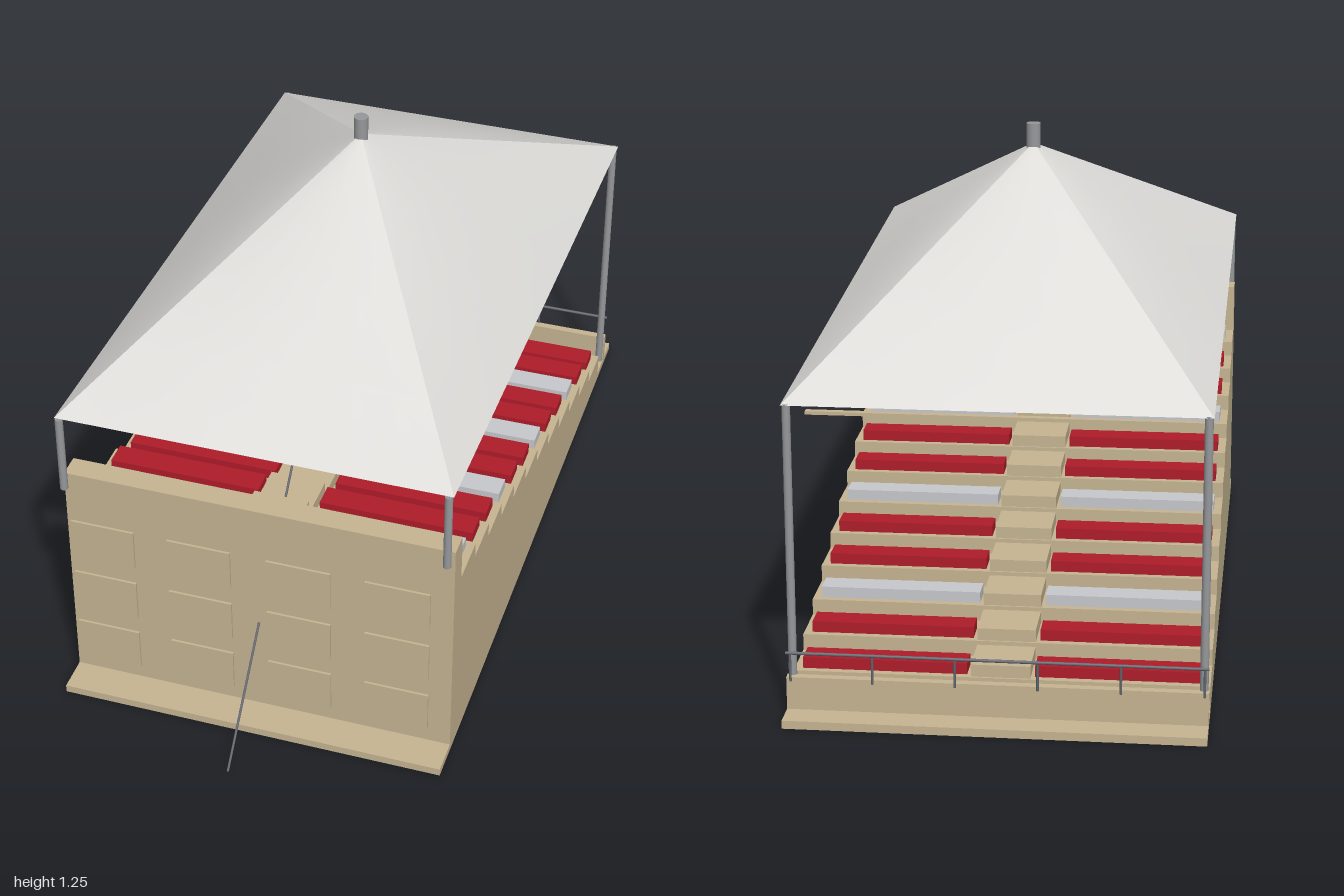
import * as THREE from 'three';

const mat = (name, color, side = THREE.FrontSide) => {
  const m = new THREE.MeshStandardMaterial({ color, side });
  m.name = name;
  return m;
};

export function createModel() {
  const model = new THREE.Group();
  model.name = 'coveredGrandstand';
  const stone = mat('sandstone', 0xc6b592);
  const red = mat('redSeat', 0xb01c2a);
  const pale = mat('paleSeat', 0xc8c9cc);
  const steel = mat('steel', 0x96989b);
  const darkSteel = mat('darkSteel', 0x62666e);
  const canvas = mat('canvas', 0xdedddA, THREE.DoubleSide);

  const add = (name, geometry, material, x = 0, y = 0, z = 0) => {
    const mesh = new THREE.Mesh(geometry, material);
    mesh.name = name;
    mesh.position.set(x, y, z);
    model.add(mesh);
    return mesh;
  };
  // Box given by its centre in x and z and its bottom and top in y
  const box = (name, m, w, y0, y1, d, x, z) =>
    add(name, new THREE.BoxGeometry(w, y1 - y0, d), m, x, (y0 + y1) / 2, z);
  const rod = (name, m, a, b, r, sides = 8) => {
    const from = new THREE.Vector3(...a), to = new THREE.Vector3(...b);
    const dir = to.clone().sub(from);
    const mesh = add(name, new THREE.CylinderGeometry(r, r, dir.length(), sides), m);
    mesh.position.copy(from).add(to).multiplyScalar(0.5);
    mesh.quaternion.setFromUnitVectors(new THREE.Vector3(0, 1, 0), dir.normalize());
  };

  // Base slab
  box('baseSlab', stone, 0.98, 0, 0.02, 1.84, 0, -0.08);

  // Stepped stand with its tall end wall, extruded across x
  const rows = 12, run = 0.128, rise = 0.0395, topZ = 0.69, topY = 0.515;
  const profile = new THREE.Shape();
  profile.moveTo(0.75, 0.02);
  profile.lineTo(0.75, 0.64);
  profile.lineTo(topZ, 0.64);
  for (let i = 0; i < rows; i++) {
    profile.lineTo(topZ - i * run, topY - i * rise);
    profile.lineTo(topZ - (i + 1) * run, topY - i * rise);
  }
  profile.lineTo(topZ - rows * run, 0.02);
  profile.closePath();
  const stand = new THREE.ExtrudeGeometry(profile, { depth: 0.98, bevelEnabled: false });
  stand.rotateY(-Math.PI / 2);
  add('steppedStand', stand, stone, 0.49);

  // Benches on both sides of the aisle, and the aisle half steps
  for (let i = 0; i < rows; i++) {
    const y = topY - i * rise, z = topZ - i * run;
    for (const s of [-1, 1])
      box('bench', i % 3 === 0 ? pale : red, 0.39, y, y + 0.027, 0.062, s * 0.275, z - 0.08);
    box('aisleStep', stone, 0.14, y, y + 0.03, 0.122, 0, z - 0.062);
  }

  // Panels standing off the end wall
  for (const x of [-0.37, -0.125, 0.125, 0.37])
    for (const y of [0.125, 0.285, 0.445])
      box('wallPanel', stone, 0.16, y, y + 0.11, 0.006, x, 0.817);

  // Low parapet and guard rail at the foot of the stand
  box('parapet', stone, 0.98, 0.02, 0.1, 0.02, 0, -0.922);
  rod('guardRail', darkSteel, [-0.49, 0.16, -0.932], [0.49, 0.16, -0.932], 0.004);
  for (let i = 0; i < 6; i++) {
    const x = -0.48 + i * 0.192;
    rod('guardRailPost', darkSteel, [x, 0.09, -0.932], [x, 0.16, -0.932], 0.003);
  }

  // Mast and corner posts
  rod('mast', steel, [0, 0.56, -0.08], [0, 1.25, -0.08], 0.018, 16);
  for (const s of [-1, 1]) {
    rod('highPost', steel, [s * 0.478, 0.62, 0.78], [s * 0.478, 0.83, 0.78], 0.01, 12);
    rod('lowPost', steel, [s * 0.478, 0.02, -0.91], [s * 0.478, 0.757, -0.91], 0.01, 12);
  }

  // Stay cables and the hanging bar under the low eave
  rod('lowerStay', darkSteel, [0, 0.02, 1], [0, 0.29, 0.75], 0.003);
  rod('upperStay', darkSteel, [0, 0.497, 0.556], [0, 0.8, 0.283], 0.003);
  box('hangingBar', stone, 0.89, 0.716, 0.724, 0.016, 0, -0.85);

  // Canopy: four gently billowed panels from the apex to straight eaves
  const apex = new THREE.Vector3(0, 1.2, -0.08);
  const corners = [[0.49, 0.83, 0.78], [0.49, 0.755, -0.92], [-0.49, 0.755, -0.92], [-0.49, 0.83, 0.78]]
    .map(c => new THREE.Vector3(...c));
  const rings = 4, cols = 8;
  corners.forEach((a, k) => {
    const b = corners[(k + 1) % 4];
    const pos = [], idx = [];
    for (let i = 0; i <= rings; i++)
      for (let j = 0; j <= cols; j++) {
        const t = i / rings, u = j / cols;
        const p = a.clone().lerp(b, u).sub(apex).multiplyScalar(t).add(apex);
        p.y += 0.018 * Math.sin(Math.PI * t) * 4 * u * (1 - u);
        pos.push(p.x, p.y, p.z);
        if (i < rings && j < cols) {
          const n = i * (cols + 1) + j, m = n + cols + 1;
          idx.push(n, m, m + 1);
          if (i > 0) idx.push(n, m + 1, n + 1);
        }
      }
    const panel = new THREE.BufferGeometry();
    panel.setAttribute('position', new THREE.Float32BufferAttribute(pos, 3));
    panel.setIndex(idx);
    panel.computeVertexNormals();
    add('canopyPanel', panel, canvas);
  });

  return model;
}
